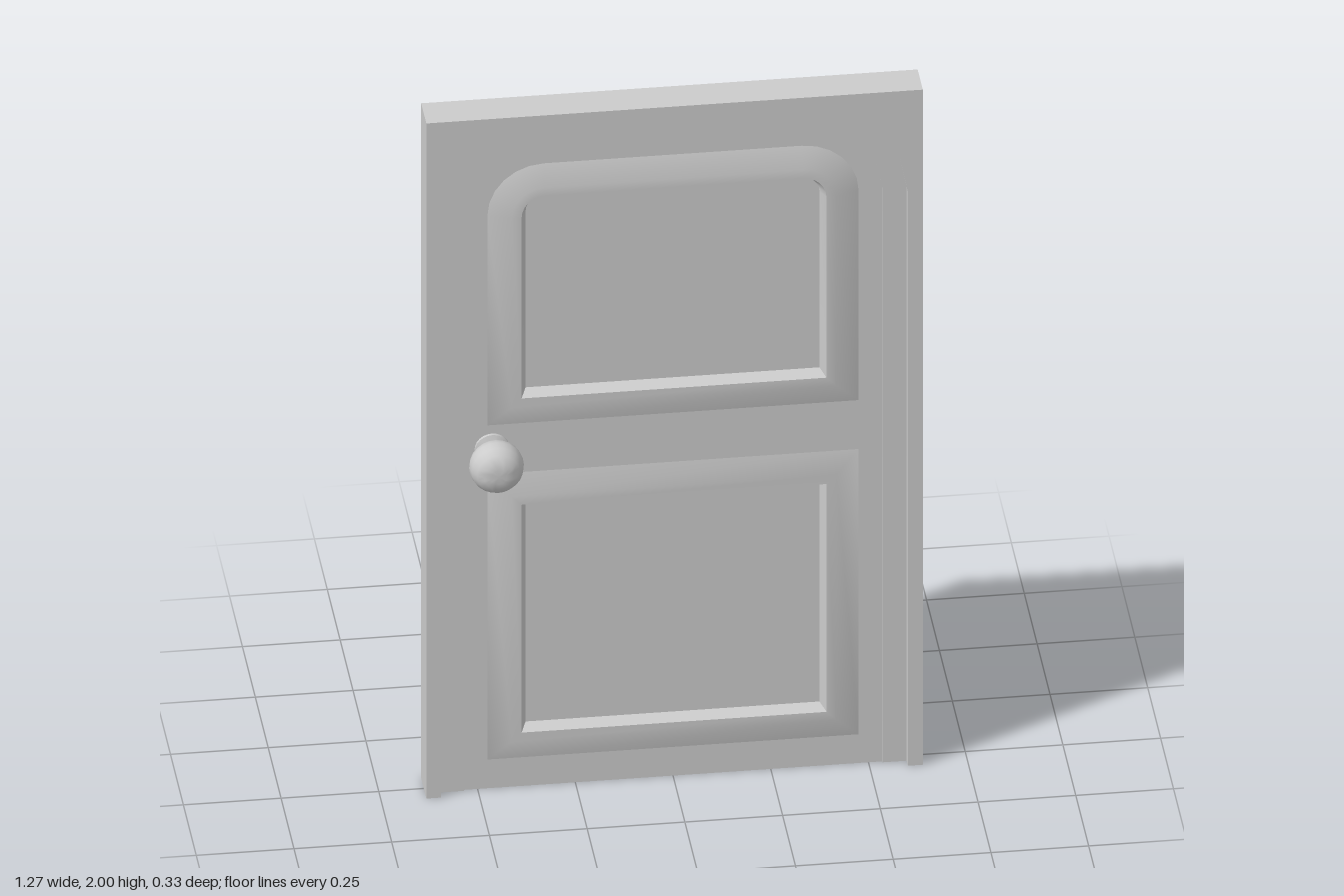
import * as THREE from 'three';
import { toCreasedNormals } from 'three/addons/utils/BufferGeometryUtils.js';

const material = new THREE.MeshStandardMaterial({ color: 0xcccccc });

function add(parent, name, geometry, crease = 0.6) {
  const mesh = new THREE.Mesh(toCreasedNormals(geometry, crease), material);
  mesh.name = name;
  parent.add(mesh);
  return mesh;
}

// Counter-clockwise outline, grown by `off`; `radius` rounds the two top corners.
function outline({ w, y0, y1, radius, steps }, off) {
  const pts = [new THREE.Vector2(-w - off, y0 - off), new THREE.Vector2(w + off, y0 - off)];
  if (!radius) {
    pts.push(new THREE.Vector2(w + off, y1 + off), new THREE.Vector2(-w - off, y1 + off));
    return pts;
  }
  for (const side of [0, 1]) {
    const cx = (side ? -1 : 1) * (w - radius);
    for (let i = 0; i <= steps; i++) {
      const a = (side + i / steps) * Math.PI / 2;
      pts.push(new THREE.Vector2(cx + Math.cos(a) * (radius + off), y1 - radius + Math.sin(a) * (radius + off)));
    }
  }
  return pts;
}

// Doorway-shaped outline standing on the floor.
function arch(w, top, radius) {
  return outline({ w, y0: 0, y1: top, radius, steps: 4 }, 0);
}

// Slab of half thickness h, centred on z = 0.
function slab(shape, h) {
  return new THREE.ExtrudeGeometry(shape, { depth: 2 * h, bevelEnabled: false }).translate(0, 0, -h);
}

// Flat band between an outer and an inner doorway outline, open at the floor.
function surround(outer, inner) {
  const [il, ir, ...rest] = inner;
  const [ol, or, ...orest] = outer;
  return new THREE.Shape([or, ...orest, ol, il, ...rest.reverse(), ir]);
}

// Raised panel moulding swept round an outline with a [offset, z] section.
function moulding(panel) {
  const section = [[0.085, 0.02], [0.025, 0.04], [0, 0.04], [-0.014, 0.01]];
  const loops = section.map(([off, z]) => outline(panel, off).map(p => [p.x, p.y, z]));
  const pos = [];
  for (let k = 0; k < loops.length - 1; k++) {
    const o = loops[k], n = loops[k + 1];
    for (let i = 0; i < o.length; i++) {
      const j = (i + 1) % o.length;
      pos.push(...o[i], ...o[j], ...n[j], ...o[i], ...n[j], ...n[i]);
    }
  }
  const g = new THREE.BufferGeometry();
  g.setAttribute('position', new THREE.Float32BufferAttribute(pos, 3));
  return g;
}

export function createModel() {
  const model = new THREE.Group();
  model.name = 'door';

  // Square frame, arched opening and the stop inside it
  const outer = outline({ w: 0.635, y0: 0, y1: 2, radius: 0 }, 0);
  const opening = arch(0.597, 1.96, 0.26);
  const leafEdge = arch(0.535, 1.9, 0.2);
  add(model, 'frame', slab(surround(outer, opening), 0.05), 0.2);
  add(model, 'doorStop', slab(surround(opening, leafEdge), 0.025), 0.2);

  // Door leaf with openings for two panels
  const panels = [
    { name: 'upperPanel', w: 0.39, y0: 1.16, y1: 1.755, radius: 0.06, steps: 6 },
    { name: 'lowerPanel', w: 0.39, y0: 0.17, y1: 0.845, radius: 0 },
  ];
  const leaf = new THREE.Shape(leafEdge);
  for (const p of panels) leaf.holes.push(new THREE.Path(outline(p, 0.02)));
  add(model, 'doorLeaf', slab(leaf, 0.02), 0.2);
  for (const p of panels) add(model, p.name, slab(new THREE.Shape(outline(p, 0.02)), 0.01), 0.2);

  // Mouldings and knob, the same on both faces
  const knobProfile = [
    [0.001, 0.018], [0.045, 0.018], [0.045, 0.028], [0.03, 0.034], [0.026, 0.045], [0.038, 0.053],
    [0.056, 0.07], [0.067, 0.09], [0.07, 0.107], [0.066, 0.128], [0.055, 0.147], [0.038, 0.159],
    [0.02, 0.163], [0, 0.163],
  ].map(([r, z]) => new THREE.Vector2(r, z));
  for (const side of [1, -1]) {
    const face = new THREE.Group();
    face.name = side > 0 ? 'frontFace' : 'backFace';
    face.rotation.y = side > 0 ? 0 : Math.PI;
    for (const p of panels) add(face, p.name + 'Moulding', moulding(p));
    const knob = add(face, 'knob', new THREE.LatheGeometry(knobProfile, 24).rotateX(Math.PI / 2), 0.7);
    knob.position.set(-0.463 * side, 1.005, 0);
    model.add(face);
  }

  // Hinge barrels on the back
  for (const y of [0.525, 1.395]) {
    const hinge = add(model, 'hinge', new THREE.CapsuleGeometry(0.017, 0.145, 3, 12), 0.7);
    hinge.position.set(0.555, y, -0.043);
  }
  return model;
}
